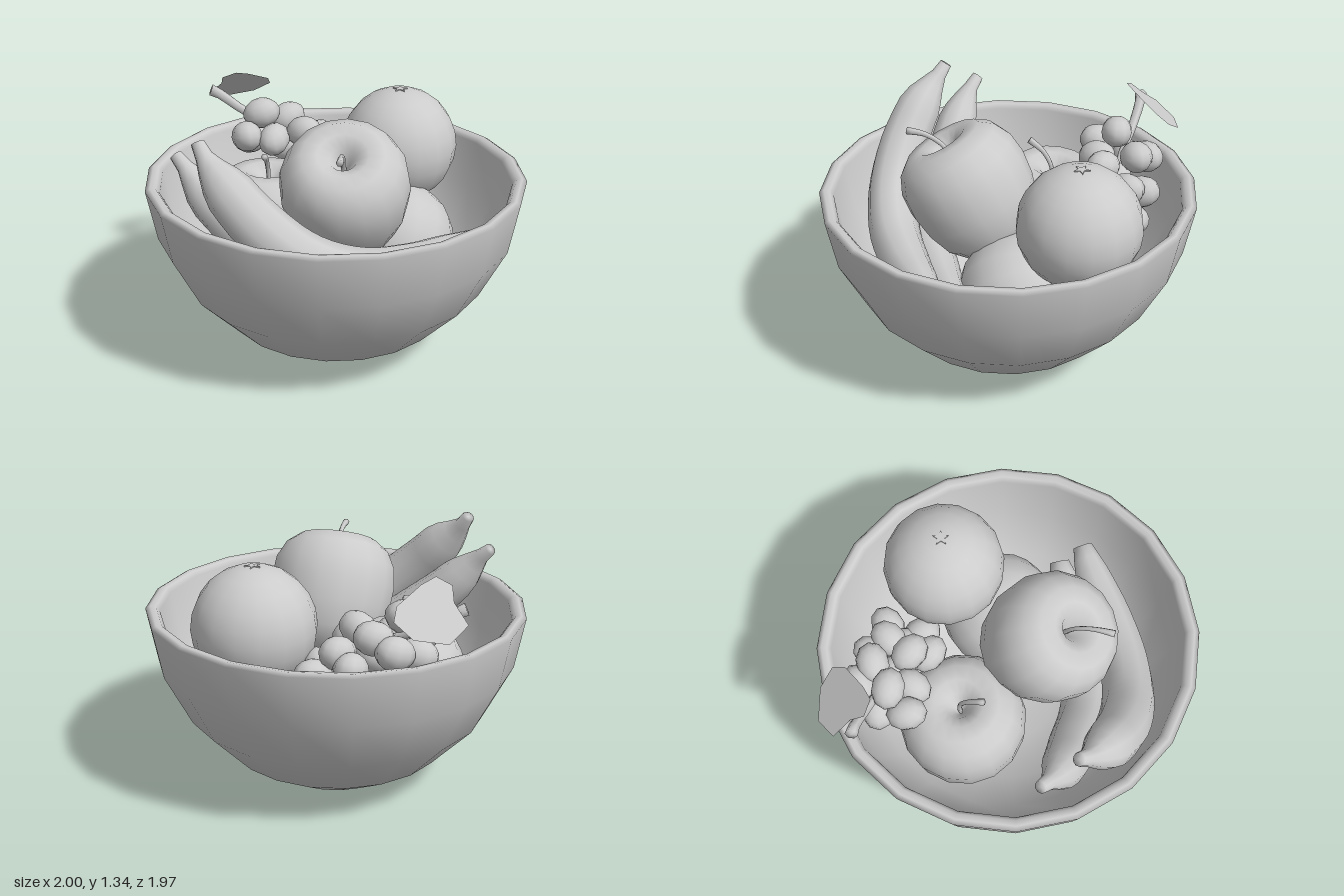
import * as THREE from 'three';
import { mergeVertices } from 'three/addons/utils/BufferGeometryUtils.js';

const V = (x, y, z) => new THREE.Vector3(x, y, z);
const material = new THREE.MeshStandardMaterial({ color: 0xcccccc });

function add(parent, name, geometry, mat = material) {
  const mesh = new THREE.Mesh(geometry, mat);
  mesh.name = name;
  parent.add(mesh);
  return mesh;
}

// Tube along sections [x, y, z, radius], with flat closed ends
function sweep(sections, steps, sides) {
  const curve = new THREE.CatmullRomCurve3(sections.map(s => V(s[0], s[1], s[2])));
  const tube = new THREE.TubeGeometry(curve, steps, 1, sides);
  const pos = tube.attributes.position;
  const p = V(0, 0, 0);
  for (let j = 0; j <= steps; j++) {
    const u = j / steps;
    const t = curve.getUtoTmapping(u) * (sections.length - 1);
    const k = Math.min(Math.floor(t), sections.length - 2);
    const r = THREE.MathUtils.lerp(sections[k][3], sections[k + 1][3], t - k);
    const end = j === 0 || j === steps;
    const centre = curve.getPointAt(u);
    const capCentre = curve.getPointAt(THREE.MathUtils.clamp(u, 1 / steps, 1 - 1 / steps));
    for (let i = 0; i <= sides; i++) {
      const n = j * (sides + 1) + i;
      p.fromBufferAttribute(pos, n).sub(centre).multiplyScalar(end ? 0 : r).add(end ? capCentre : centre);
      pos.setXYZ(n, p.x, p.y, p.z);
    }
  }
  tube.deleteAttribute('normal');
  tube.deleteAttribute('uv');
  const merged = mergeVertices(tube, 1e-5);
  merged.computeVertexNormals();
  return merged;
}

function lathe(profile, sides) {
  return new THREE.LatheGeometry(profile.map(([x, y]) => new THREE.Vector2(x, y)), sides);
}

function makeApple(name, x, y, z, tilt) {
  const apple = new THREE.Group();
  apple.name = name;
  add(apple, 'appleBody', lathe([
    [0, -0.27], [0.06, -0.3], [0.13, -0.325], [0.21, -0.29], [0.28, -0.2], [0.322, -0.07],
    [0.337, 0.06], [0.325, 0.17], [0.28, 0.26], [0.21, 0.315], [0.13, 0.32], [0.07, 0.285],
    [0.03, 0.22], [0, 0.17]], 16));
  add(apple, 'appleStem', sweep([
    [0, 0.15, 0, 0.013], [0, 0.29, 0.005, 0.012], [0, 0.385, 0.06, 0.013], [0, 0.46, 0.17, 0.021]], 12, 6));
  apple.position.set(x, y, z);
  apple.rotation.x = tilt;
  return apple;
}

function makeOrange(name, x, y, z, turn) {
  const orange = new THREE.Group();
  orange.name = name;
  add(orange, 'orangeBody', new THREE.SphereGeometry(0.32, 16, 12));
  // Star-shaped stem scar on top
  const star = new THREE.Shape();
  for (let i = 0; i < 10; i++) {
    const r = i % 2 ? 0.018 : 0.042;
    const a = i * Math.PI / 5 + Math.PI / 2;
    star[i ? 'lineTo' : 'moveTo'](r * Math.cos(a), r * Math.sin(a));
  }
  const scar = add(orange, 'orangeScar', new THREE.ExtrudeGeometry(star, { depth: 0.012, bevelEnabled: false }));
  scar.rotation.x = -Math.PI / 2;
  scar.position.y = 0.31;
  orange.position.set(x, y, z);
  orange.rotation.x = turn;
  return orange;
}

export function createModel() {
  const model = new THREE.Group();
  model.name = 'fruitBowl';

  // Bowl with a rounded rim and a thick wall
  const bowl = lathe([
    [0, 0], [0.31, 0], [0.59, 0.165], [0.81, 0.4], [0.95, 0.68], [1, 0.955], [0.975, 0.97],
    [0.945, 0.965], [0.925, 0.94], [0.88, 0.69], [0.75, 0.44], [0.545, 0.23],
    [0.28, 0.09], [0, 0.06]], 20);
  bowl.scale(1, 1, 0.985);
  add(model, 'bowl', bowl);

  // Apples and oranges
  model.add(makeApple('frontApple', 0.065, 0.932, 0.18, 0.52));
  model.add(makeApple('backApple', -0.38, 0.58, -0.14, -0.06));
  model.add(makeOrange('topOrange', 0.315, 0.965, -0.44, 0));
  model.add(makeOrange('lowerOrange', 0.32, 0.52, -0.14, 2.2));

  // Bananas
  add(model, 'frontBanana', sweep([
    [-0.65, 1.38, 0.48, 0.024], [-0.58, 1.26, 0.55, 0.045], [-0.47, 1.135, 0.62, 0.122],
    [-0.29, 0.95, 0.675, 0.137], [-0.08, 0.79, 0.67, 0.138], [0.16, 0.69, 0.59, 0.135],
    [0.4, 0.66, 0.45, 0.125], [0.6, 0.68, 0.31, 0.098], [0.71, 0.71, 0.235, 0.062],
    [0.79, 0.74, 0.18, 0.032]], 26, 10));
  add(model, 'backBanana', sweep([
    [-0.81, 1.24, 0.34, 0.024], [-0.71, 1.14, 0.4, 0.042], [-0.6, 1.01, 0.44, 0.11],
    [-0.4, 0.82, 0.46, 0.13], [-0.18, 0.66, 0.47, 0.136], [0.08, 0.57, 0.42, 0.135],
    [0.32, 0.55, 0.3, 0.12], [0.52, 0.58, 0.19, 0.095], [0.63, 0.62, 0.125, 0.062],
    [0.71, 0.65, 0.085, 0.032]], 26, 10));

  // Grapes: x, y, z, turn
  const grapes = new THREE.Group();
  grapes.name = 'grapes';
  const grapeGeometry = new THREE.SphereGeometry(0.085, 10, 8).scale(1.25, 1, 1);
  [[-0.46, 1.1, -0.49, 0.1], [-0.33, 1.03, -0.62, 0.5], [-0.22, 1.01, -0.46, -0.5],
    [-0.53, 1.0, -0.38, -1.2], [-0.38, 0.98, -0.4, 1.3], [-0.17, 0.92, -0.38, -0.5],
    [-0.15, 0.93, -0.6, 1.1], [-0.04, 0.82, -0.65, 0.9], [-0.23, 0.88, -0.67, 1.4],
    [-0.44, 0.98, -0.66, 0.8], [-0.03, 0.8, -0.47, -0.9], [-0.32, 0.9, -0.52, 0.2],
    [-0.53, 0.93, -0.54, 0.4], [-0.12, 0.8, -0.52, 0.7]
  ].forEach(([x, y, z, turn]) => {
    const grape = add(grapes, 'grape', grapeGeometry);
    grape.position.set(x, y, z);
    grape.rotation.set(0, turn, 0.3);
  });
  add(grapes, 'grapeStem', sweep([
    [-0.81, 1.22, -0.56, 0.038], [-0.72, 1.18, -0.575, 0.028], [-0.58, 1.09, -0.56, 0.024],
    [-0.35, 0.98, -0.53, 0.02], [-0.1, 0.85, -0.55, 0.015]], 14, 6));

  // Flat leaf on a sloping plane, notched where it meets the stem
  const outline = [[-0.7, -0.59], [-0.78, -0.66], [-0.71, -0.77], [-0.55, -0.81], [-0.45, -0.77],
    [-0.45, -0.7], [-0.54, -0.57], [-0.6, -0.51], [-0.68, -0.52]];
  const leaf = new THREE.ShapeGeometry(new THREE.Shape(outline.map(([x, z]) => new THREE.Vector2(x, -z))));
  leaf.rotateX(-Math.PI / 2);
  const pos = leaf.attributes.position;
  for (let i = 0; i < pos.count; i++) {
    pos.setY(i, 1.3 + 0.33 * (pos.getX(i) + 0.54) + 0.75 * (pos.getZ(i) + 0.57));
  }
  leaf.computeVertexNormals();
  add(grapes, 'grapeLeaf', leaf, new THREE.MeshStandardMaterial({ color: 0xcccccc, side: THREE.DoubleSide }));
  model.add(grapes);

  return model;
}
